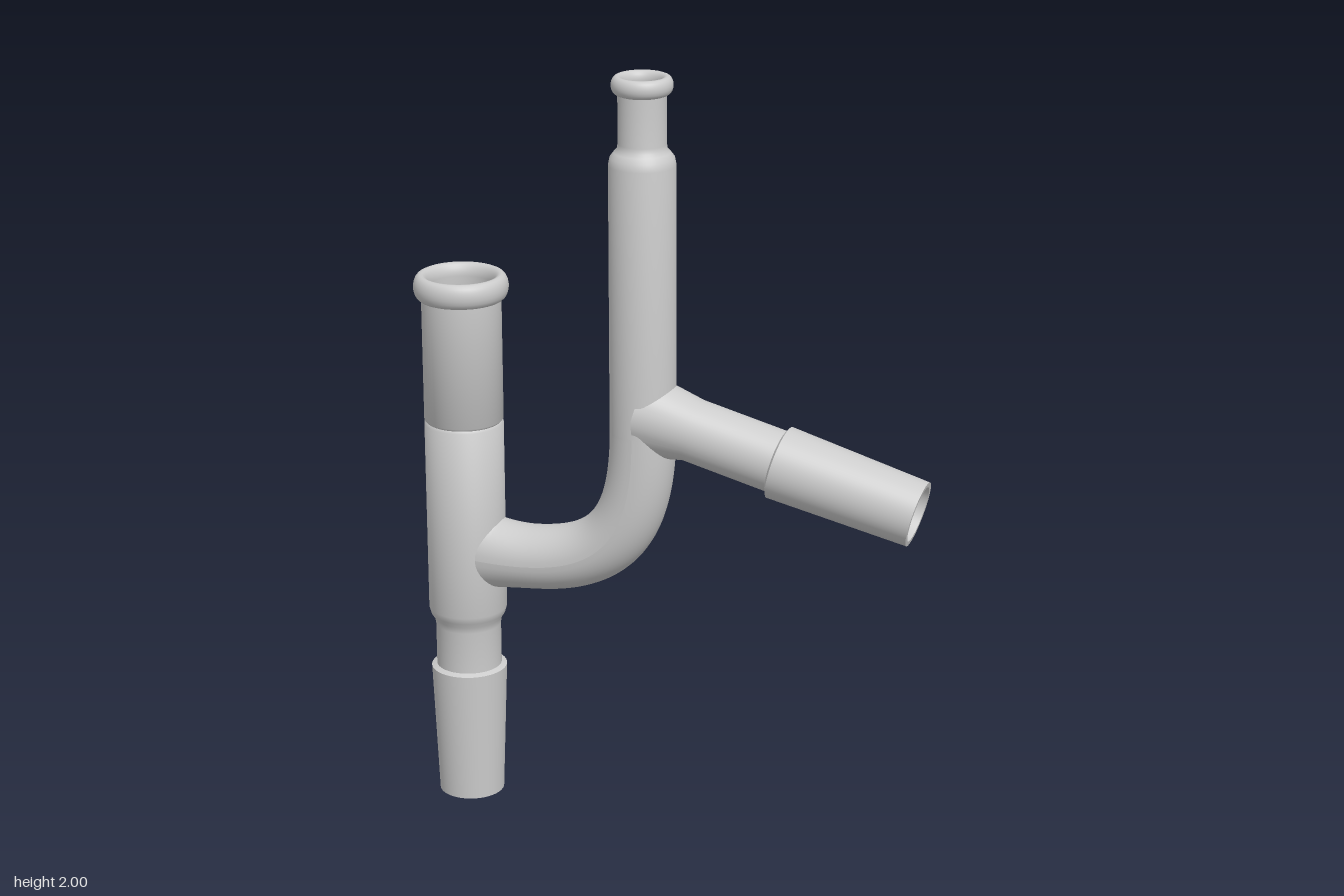
import * as THREE from 'three';
import { toCreasedNormals } from 'three/addons/utils/BufferGeometryUtils.js';

const material = new THREE.MeshStandardMaterial({ color: 0xcccccc, side: THREE.DoubleSide });
const COLUMN_X = -0.562, RISER_X = -0.067, ARM_TILT = 0.25;

// Hollow turned part: outer wall listed upward, inner wall listed downward.
function turned(outer, inner) {
  const points = [...outer, ...inner, outer[0]].map(([r, y]) => new THREE.Vector2(r, y));
  return new THREE.LatheGeometry(points, 64);
}

// Keep sharp steps sharp (scaled up so that fine details are not merged).
function crease(geometry) {
  geometry.scale(100, 100, 100);
  return toCreasedNormals(geometry, 0.7).scale(0.01, 0.01, 0.01);
}

// Rounded rim from the outer wall over to the bore.
function rim(rCentre, yCentre, rr, ry) {
  return Array.from({ length: 15 }, (_, i) => {
    const a = -Math.PI / 2 + (i / 14) * Math.PI * 1.5;
    return [rCentre + rr * Math.cos(a), yCentre + ry * Math.sin(a)];
  });
}

// Move vertices lying inside an upright tube out to its wall, along (dx, dy).
function trimToTube(geometry, cx, radius, dx, dy) {
  const p = geometry.attributes.position;
  for (let i = 0; i < p.count; i++) {
    const z = p.getZ(i);
    const wall = cx + Math.sqrt(Math.max(0, radius * radius - z * z));
    const shift = (wall - p.getX(i)) / dx;
    if (shift > 0) p.setXY(i, p.getX(i) + shift * dx, p.getY(i) + shift * dy);
  }
  geometry.computeVertexNormals();
  return geometry;
}

// Curved pipe, flared vertically where it joins the column.
function bentPipe(path, radius) {
  const steps = 60, sides = 40;
  const g = new THREE.TubeGeometry(path, steps, radius, sides, false);
  const p = g.attributes.position;
  for (let i = 0; i < p.count; i++) {
    const u = Math.floor(i / (sides + 1)) / steps;
    const c = path.getPointAt(u);
    const flare = 1 + 0.28 * Math.max(0, 1 - u / 0.25) ** 2;
    p.setY(i, c.y + (p.getY(i) - c.y) * flare);
  }
  return trimToTube(g, COLUMN_X, 0.1, 1, 0);
}

export function createModel() {
  const model = new THREE.Group();
  const add = (name, geometry, x = 0) => {
    const mesh = new THREE.Mesh(geometry, material);
    mesh.name = name;
    mesh.position.x = x;
    model.add(mesh);
  };

  // Upright column: tapered lower joint, neck, body, socket and rim
  add('column', crease(turned(
    [[0.086, 0], [0.1, 0.36], [0.086, 0.366], [0.086, 0.48], [0.089, 0.498], [0.098, 0.512],
      [0.103, 0.53], [0.103, 1.044], [0.0985, 1.05], [0.103, 1.056], [0.103, 1.38],
      ...rim(0.103, 1.412, 0.0195, 0.033)],
    [[0.088, 1.38], [0.083, 1.05], [0.083, 0.53], [0.067, 0.49], [0.067, 0]]
  )), COLUMN_X);

  // Upright riser: straight tube, shoulder, narrow neck and rim
  add('riser', crease(turned(
    [[0.085, 1.08], [0.085, 1.775], [0.081, 1.795], [0.071, 1.808], [0.063, 1.816], [0.061, 1.83],
      [0.061, 1.953], ...rim(0.062, 1.977, 0.0155, 0.023)],
    [[0.05, 1.95], [0.05, 1.82], [0.069, 1.78], [0.069, 1.08]]
  )), RISER_X);

  // Bend linking the column to the riser, with its inner wall
  const path = new THREE.CubicBezierCurve3(
    new THREE.Vector3(-0.54, 0.695, 0), new THREE.Vector3(-0.2, 0.67, 0),
    new THREE.Vector3(RISER_X, 0.75, 0), new THREE.Vector3(RISER_X, 1.08, 0));
  add('bend', bentPipe(path, 0.085));
  add('bendInnerWall', bentPipe(path, 0.069));

  // Sloping side arm ending in a tapered joint
  const arm = turned(
    [[0.092, 0], [0.081, 0.14], [0.081, 0.37], [0.095, 0.377], [0.085, 0.752]],
    [[0.072, 0.752], [0.065, 0.37], [0.065, 0.14], [0.065, 0]]);
  arm.rotateZ(-Math.PI / 2 - ARM_TILT).translate(RISER_X, 1.13, 0);
  trimToTube(arm, RISER_X, 0.083, Math.cos(ARM_TILT), -Math.sin(ARM_TILT));
  add('sideArm', crease(arm));

  return model;
}
